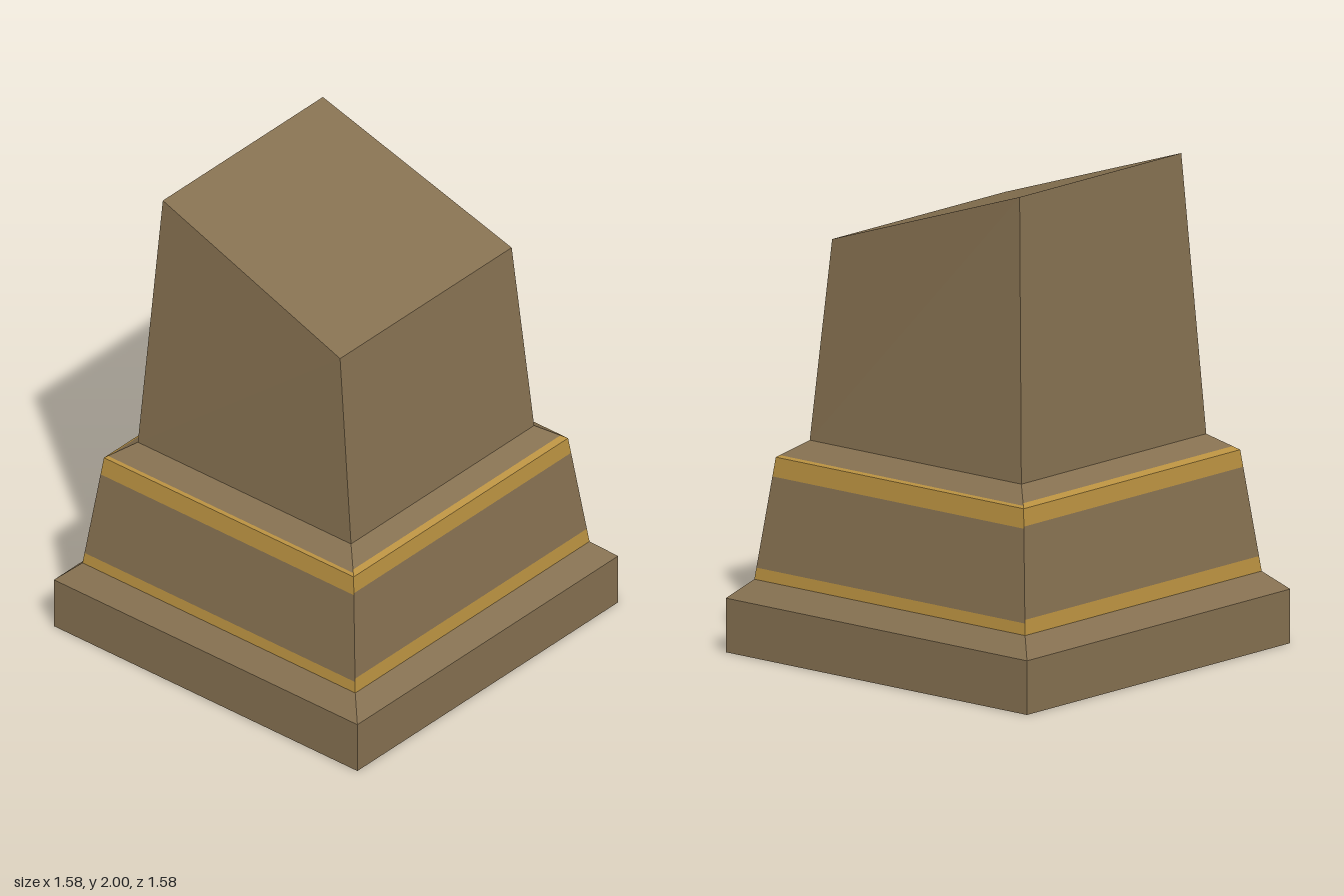
import * as THREE from 'three';

const stone = new THREE.MeshStandardMaterial({ color: 0x857050, side: THREE.DoubleSide });
stone.name = 'brownStone';
const gold = new THREE.MeshStandardMaterial({ color: 0xb89040, side: THREE.DoubleSide });
gold.name = 'goldTrim';

// Outline of the hollow shell: [half width, height]
const profile = [[0.79, 0], [0.79, 0.22], [0.71, 0.295], [0.65, 0.79], [0.555, 0.857]];

// Half width of the shell at a height above the base block
function widthAt(y) {
  for (let i = 2; i < profile.length; i++) {
    const [w0, y0] = profile[i - 1], [w1, y1] = profile[i];
    if (y <= y1) return w0 + (w1 - w0) * (y - y0) / (y1 - y0);
  }
  return profile[profile.length - 1][0];
}

// Square ring of four corners, anticlockwise seen from above, starting front left-hand corner (-x, +z)
const ring = (w, y) => [[-w, y, w], [w, y, w], [w, y, -w], [-w, y, -w]];

// Flat-shaded geometry from quads with anticlockwise corners
function quads(list) {
  const pos = list.flatMap(([a, b, c, d]) => [a, b, c, a, c, d]).flat();
  const g = new THREE.BufferGeometry();
  g.setAttribute('position', new THREE.Float32BufferAttribute(pos, 3));
  g.computeVertexNormals();
  return g;
}

// Four sloping walls between two rings; sides limits which walls are built
function walls(lower, upper, sides = [0, 1, 2, 3]) {
  return sides.map((i) => {
    const j = (i + 1) % 4;
    return [lower[i], lower[j], upper[j], upper[i]];
  });
}

export function createModel() {
  const model = new THREE.Group();
  const add = (name, list, material) => {
    const mesh = new THREE.Mesh(quads(list), material);
    mesh.name = name;
    model.add(mesh);
  };
  const band = (y0, y1, sides) => walls(ring(widthAt(y0), y0), ring(widthAt(y1), y1), sides);

  // Base block, open underneath, and its bevel
  add('baseBlock', walls(ring(0.79, 0), ring(0.79, 0.22)), stone);
  add('baseBevel', band(0.22, 0.295), stone);

  // Sloping plinth with gold bands; the bands sit slightly higher on the x sides
  const faces = [
    { sides: [0, 2], low: 0.342, high: 0.712, lip: 0.798 },
    { sides: [1, 3], low: 0.356, high: 0.72, lip: 0.805 },
  ];
  add('lowerGoldBand', faces.flatMap((f) => band(0.295, f.low, f.sides)), gold);
  add('plinth', faces.flatMap((f) => band(f.low, f.high, f.sides)), stone);
  add('upperGoldBand', faces.flatMap((f) => band(f.high, 0.79, f.sides)), gold);
  add('goldLip', faces.flatMap((f) => band(0.79, f.lip, f.sides)), gold);
  add('ledge', faces.flatMap((f) => band(f.lip, 0.857, f.sides)), stone);

  // Tapered pillar with a slanted top, high on the -x side
  const top = [
    [-0.485, 2, 0.485], [0.468, 1.682, 0.52],
    [0.468, 1.682, -0.52], [-0.485, 2, -0.485],
  ];
  add('pillar', walls(ring(0.555, 0.857), top), stone);
  add('slantedTop', [top], stone);

  return model;
}
